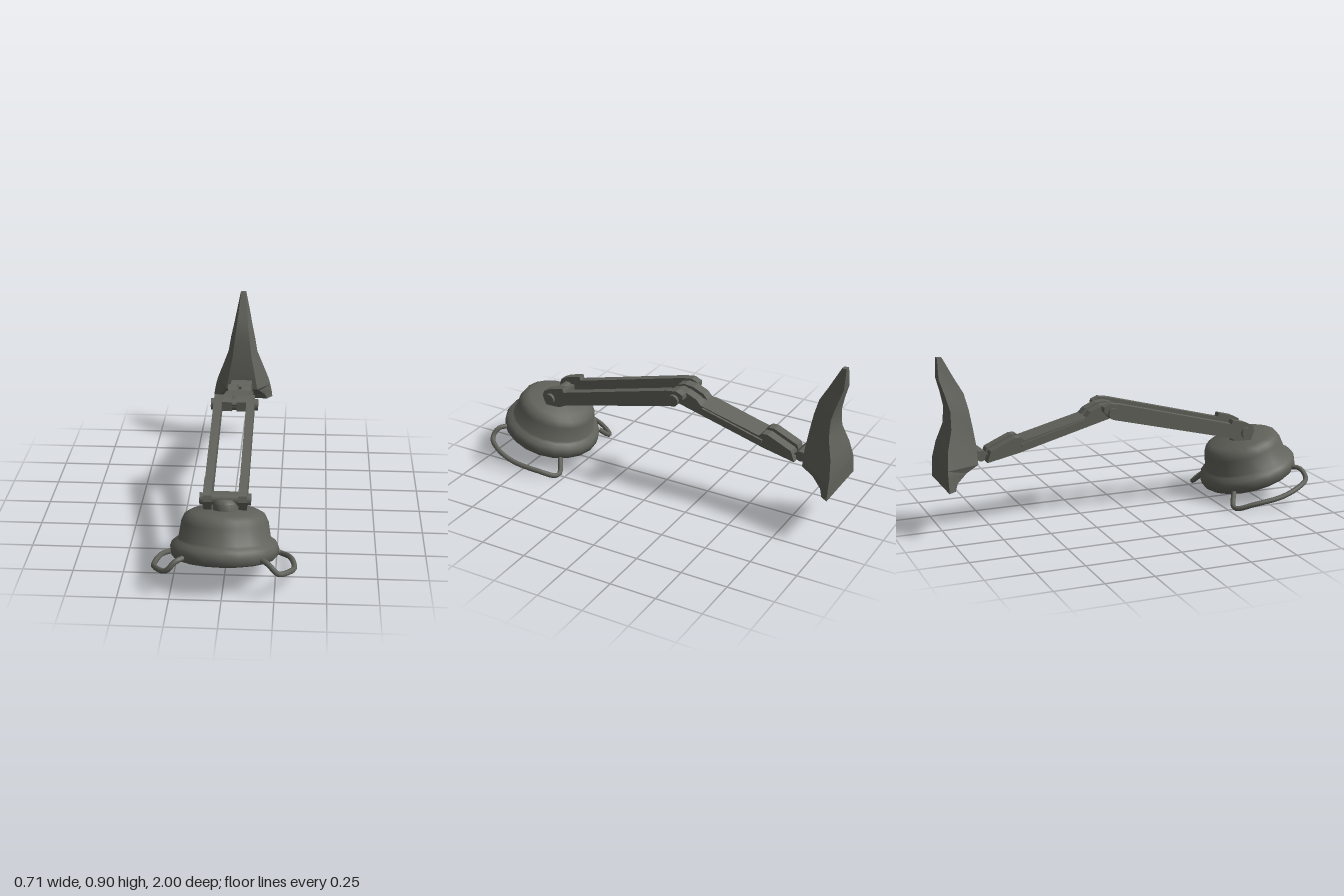
import * as THREE from 'three';
import { toCreasedNormals } from 'three/addons/utils/BufferGeometryUtils.js';

const metal = new THREE.MeshStandardMaterial({ color: 0x62625c });
metal.name = 'dark grey metal';

function add(parent, name, geometry) {
  const mesh = new THREE.Mesh(geometry, metal);
  mesh.name = name;
  parent.add(mesh);
  return mesh;
}

// Side profile of [z, y] points, extruded across x from x0 to x1
function plate(points, x0, x1) {
  const shape = new THREE.Shape(points.map(([z, y]) => new THREE.Vector2(z, y)));
  return new THREE.ExtrudeGeometry(shape, { depth: x1 - x0, bevelEnabled: false })
    .rotateY(-Math.PI / 2).translate(x1, 0, 0);
}

// Cylinder lying along x
function pin(radius, length, y, z, x = 0) {
  return toCreasedNormals(new THREE.CylinderGeometry(radius, radius, length, 14)
    .rotateZ(Math.PI / 2).translate(x, y, z), 0.7);
}

function lathe(points, sides) {
  const profile = points.map(([r, y]) => new THREE.Vector2(r, y));
  return toCreasedNormals(new THREE.LatheGeometry(profile, sides), 0.75);
}

// Tapered wall bracket from cross-sections: y, front z, front half width, back z, back half width
function bracket() {
  const sections = [
    [0.905, -0.975, 0.013, -1, 0.015],
    [0.80, -0.92, 0.025, -1, 0.036],
    [0.72, -0.875, 0.034, -0.975, 0.052],
    [0.64, -0.855, 0.045, -0.955, 0.07],
    [0.55, -0.84, 0.055, -0.957, 0.085],
    [0.45, -0.828, 0.075, -0.987, 0.12],
    [0.36, -0.825, 0.09, -1, 0.153],
    [0.325, -0.89, 0.10, -1, 0.162],
    [0.285, -0.945, 0.13, -1, 0.17],
    [0.25, -0.96, 0.145, -1, 0.175],
  ];
  const positions = sections.flatMap(([y, zf, wf, zb, wb]) =>
    [wf, y, zf, -wf, y, zf, -wb, y, zb, wb, y, zb]);
  const index = [0, 2, 1, 0, 3, 2];
  for (let i = 0; i < sections.length - 1; i++) {
    for (let j = 0; j < 4; j++) {
      const a = i * 4 + j, b = i * 4 + (j + 1) % 4;
      index.push(b, b + 4, a + 4, b, a + 4, a);
    }
  }
  const e = (sections.length - 1) * 4;
  index.push(e, e + 1, e + 2, e, e + 2, e + 3);
  const geometry = new THREE.BufferGeometry();
  geometry.setAttribute('position', new THREE.Float32BufferAttribute(positions, 3));
  geometry.setIndex(index);
  return toCreasedNormals(geometry, 0.5);
}

export function createModel() {
  const model = new THREE.Group();
  model.name = 'wallLamp';

  // Lamp head, tilted so that the opening looks down and forward
  const head = new THREE.Group();
  head.name = 'lampHead';
  head.position.set(0, 0.11, 0.748);
  head.rotation.x = -0.268;
  model.add(head);
  add(head, 'lampShade', lathe([
    [0, 0.075], [0.2, 0.075], [0.222, 0.008], [0.235, 0], [0.25, 0], [0.263, 0.014],
    [0.267, 0.045], [0.258, 0.07], [0.236, 0.085], [0.226, 0.095], [0.213, 0.175],
    [0.198, 0.207], [0.165, 0.226], [0, 0.232],
  ], 20));
  add(head, 'lampNeck', lathe([
    [0.06, 0.22], [0.06, 0.262], [0.045, 0.28], [0, 0.288],
  ], 14));

  // Bent grab handles on both sides of the shade
  const handlePoints = [
    [0.17, 0.18, 0.895], [0.22, 0.178, 0.945], [0.265, 0.135, 0.958], [0.325, 0.108, 0.88],
    [0.342, 0.072, 0.77], [0.32, 0.042, 0.62], [0.282, 0.017, 0.54], [0.255, 0.022, 0.528],
    [0.195, 0.08, 0.56],
  ];
  for (const s of [1, -1]) {
    const path = new THREE.CatmullRomCurve3(
      handlePoints.map(([x, y, z]) => new THREE.Vector3(s * x, y, z)));
    add(model, s > 0 ? 'leftHandle' : 'rightHandle',
      new THREE.TubeGeometry(path, 40, 0.0135, 8));
  }

  // Front arm: a pair of plates
  const frontArm = [
    [0.72, 0.386], [0.71, 0.415], [0.67, 0.435], [0.59, 0.456], [0.584, 0.434],
    [-0.055, 0.602], [-0.113, 0.611], [-0.15, 0.595], [-0.152, 0.57], [-0.10, 0.525],
    [0.57, 0.36], [0.617, 0.338], [0.70, 0.336],
  ];
  add(model, 'frontArmLeft', plate(frontArm, 0.065, 0.107));
  add(model, 'frontArmRight', plate(frontArm, -0.107, -0.065));

  // Axles through both ends of the front arm
  add(model, 'headAxle', pin(0.03, 0.25, 0.38, 0.67));
  add(model, 'headCrossbar', new THREE.BoxGeometry(0.13, 0.04, 0.06).translate(0, 0.38, 0.655));
  add(model, 'elbowAxle', pin(0.031, 0.25, 0.56, -0.10));

  // Rear arm: two cheeks around a lower core, with thin side rails
  const cheek = [
    [-0.06, 0.588], [-0.10, 0.60], [-0.15, 0.595], [-0.21, 0.568], [-0.235, 0.541],
    [-0.57, 0.455], [-0.59, 0.471], [-0.62, 0.471], [-0.75, 0.413], [-0.77, 0.355],
    [-0.6, 0.391], [-0.10, 0.525], [-0.06, 0.537],
  ];
  add(model, 'rearArmLeft', plate(cheek, 0.012, 0.065));
  add(model, 'rearArmRight', plate(cheek, -0.065, -0.012));
  add(model, 'rearArmCore', plate([
    [-0.065, 0.57], [-0.20, 0.548], [-0.235, 0.541], [-0.57, 0.455], [-0.75, 0.39],
    [-0.75, 0.37], [-0.6, 0.396], [-0.10, 0.53],
  ], -0.012, 0.012));
  const rails = add(model, 'sideRails', new THREE.BoxGeometry(0.156, 0.018, 0.357));
  rails.position.set(0, 0.477, -0.418);
  rails.rotation.x = -0.27;

  // Hinge and wall bracket
  add(model, 'wallHinge', pin(0.024, 0.12, 0.39, -0.80));
  add(model, 'hingeTongues', plate([
    [-0.765, 0.40], [-0.79, 0.42], [-0.815, 0.42], [-0.84, 0.40], [-0.84, 0.37], [-0.80, 0.385],
  ], -0.06, 0.06));
  add(model, 'wallBracket', bracket());

  return model;
}
